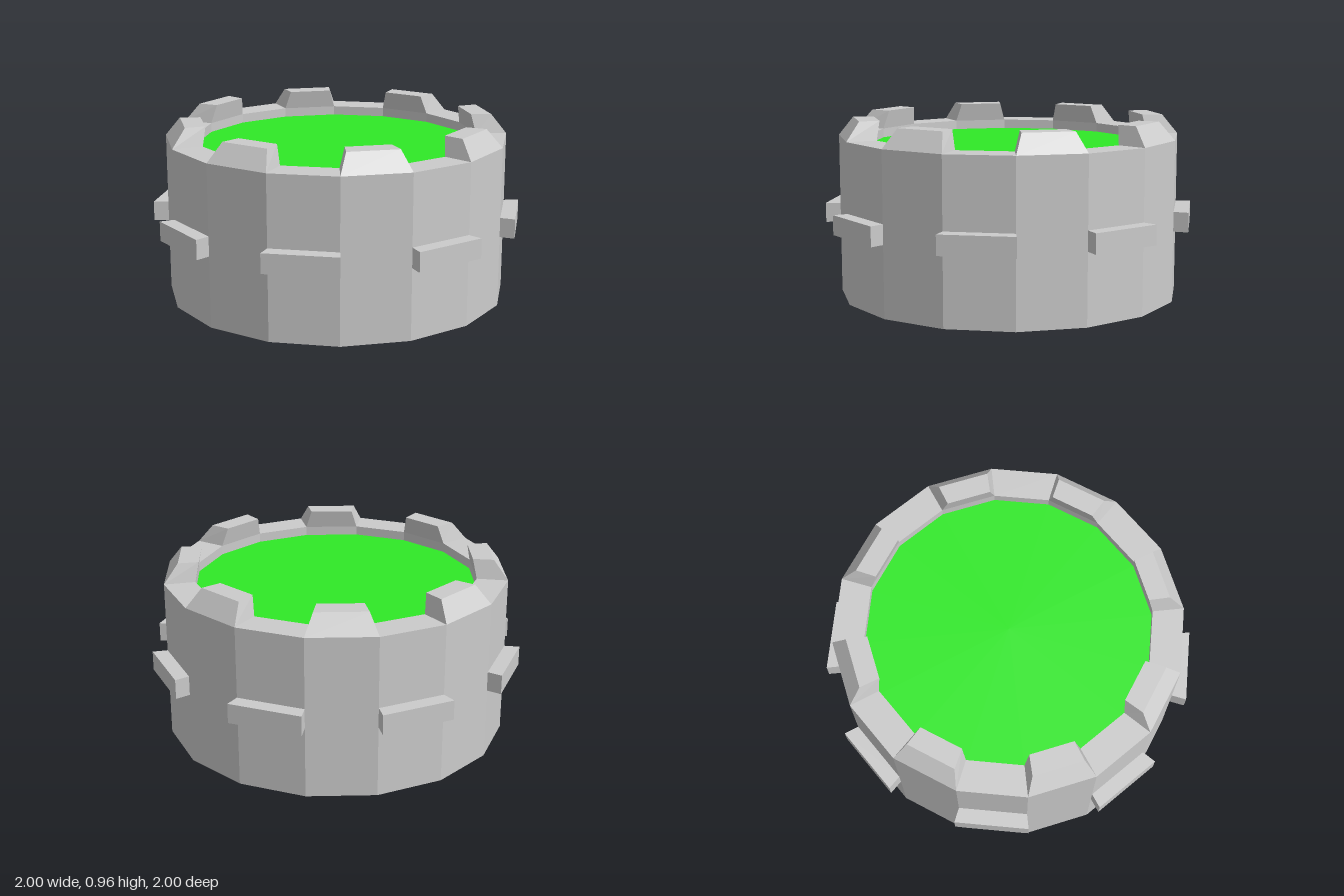
import * as THREE from 'three';

const SIDES = 16, STEP = (Math.PI * 2) / SIDES;
const R_OUT = 0.92, R_IN = 0.755, R_PANEL = 1.0;
const Y_RIM = 0.86, Y_FLOOR = 0.81, Y_TOP = 0.96;
const PANEL_LOW = 0.38, PANEL_HIGH = 0.485;

// Point on a ring: angle runs from +x towards +z
const pt = (a, r, y) => [r * Math.cos(a), y, r * Math.sin(a)];

// Quads with corners counter-clockwise seen from outside
const quad = (out, a, b, c, d) => out.push(...a, ...b, ...c, ...a, ...c, ...d);

// Upright four-corner patch facing outwards
const upright = (a0, a1, r, y0, y1) => [pt(a1, r, y0), pt(a0, r, y0), pt(a0, r, y1), pt(a1, r, y1)];

// Level four-corner patch facing up
const level = (a0, a1, r0, r1, y) => [pt(a0, r0, y), pt(a1, r0, y), pt(a1, r1, y), pt(a0, r1, y)];

// Face raised from one loop of four corners to another, open at its base
function raised(base, cap) {
  const out = [];
  for (let i = 0; i < 4; i++) {
    const j = (i + 1) % 4;
    quad(out, base[i], base[j], cap[j], cap[i]);
  }
  quad(out, ...cap);
  return out;
}

export function createModel() {
  const group = new THREE.Group();
  const grey = new THREE.MeshStandardMaterial({ color: 0xcccccc, flatShading: true, side: THREE.DoubleSide });
  const green = new THREE.MeshStandardMaterial({ color: 0x2fe926, flatShading: true, side: THREE.DoubleSide });

  const add = (name, positions) => {
    const g = new THREE.BufferGeometry();
    g.setAttribute('position', new THREE.Float32BufferAttribute(positions, 3));
    g.computeVertexNormals();
    const mesh = new THREE.Mesh(g, grey);
    mesh.name = name;
    group.add(mesh);
  };

  const wall = [], rim = [], well = [];
  const inset = THREE.MathUtils.degToRad(2);

  for (let i = 0; i < SIDES; i++) {
    const a0 = i * STEP, a1 = a0 + STEP;

    // Inner step down to the floor
    quad(well, pt(a0, R_IN, Y_FLOOR), pt(a1, R_IN, Y_FLOOR), pt(a1, R_IN, Y_RIM), pt(a0, R_IN, Y_RIM));

    if (i % 2 === 0) {
      // Plain wall side with a tapered battlement on top
      quad(wall, ...upright(a0, a1, R_OUT, 0, Y_RIM));
      add('battlement', raised(
        level(a0, a1, R_IN, R_OUT, Y_RIM),
        level(a0 + inset, a1 - inset, 0.73, 0.84, Y_TOP)));
    } else {
      // Wall side with a hollow panel pushed outwards, and open rim above
      quad(wall, ...upright(a0, a1, R_OUT, 0, PANEL_LOW));
      quad(wall, ...upright(a0, a1, R_OUT, PANEL_HIGH, Y_RIM));
      quad(rim, ...level(a0, a1, R_IN, R_OUT, Y_RIM));
      add('wallPanel', raised(
        upright(a0, a1, R_OUT, PANEL_LOW, PANEL_HIGH),
        upright(a0, a1, R_PANEL, PANEL_LOW, PANEL_HIGH)));
    }
  }
  add('wall', wall);
  add('rim', rim);
  add('innerStep', well);

  // Green floor inside the rim
  const floor = new THREE.Mesh(new THREE.CircleGeometry(R_IN, SIDES).rotateX(-Math.PI / 2), green);
  floor.position.y = Y_FLOOR;
  floor.name = 'floor';
  group.add(floor);

  return group;
}
